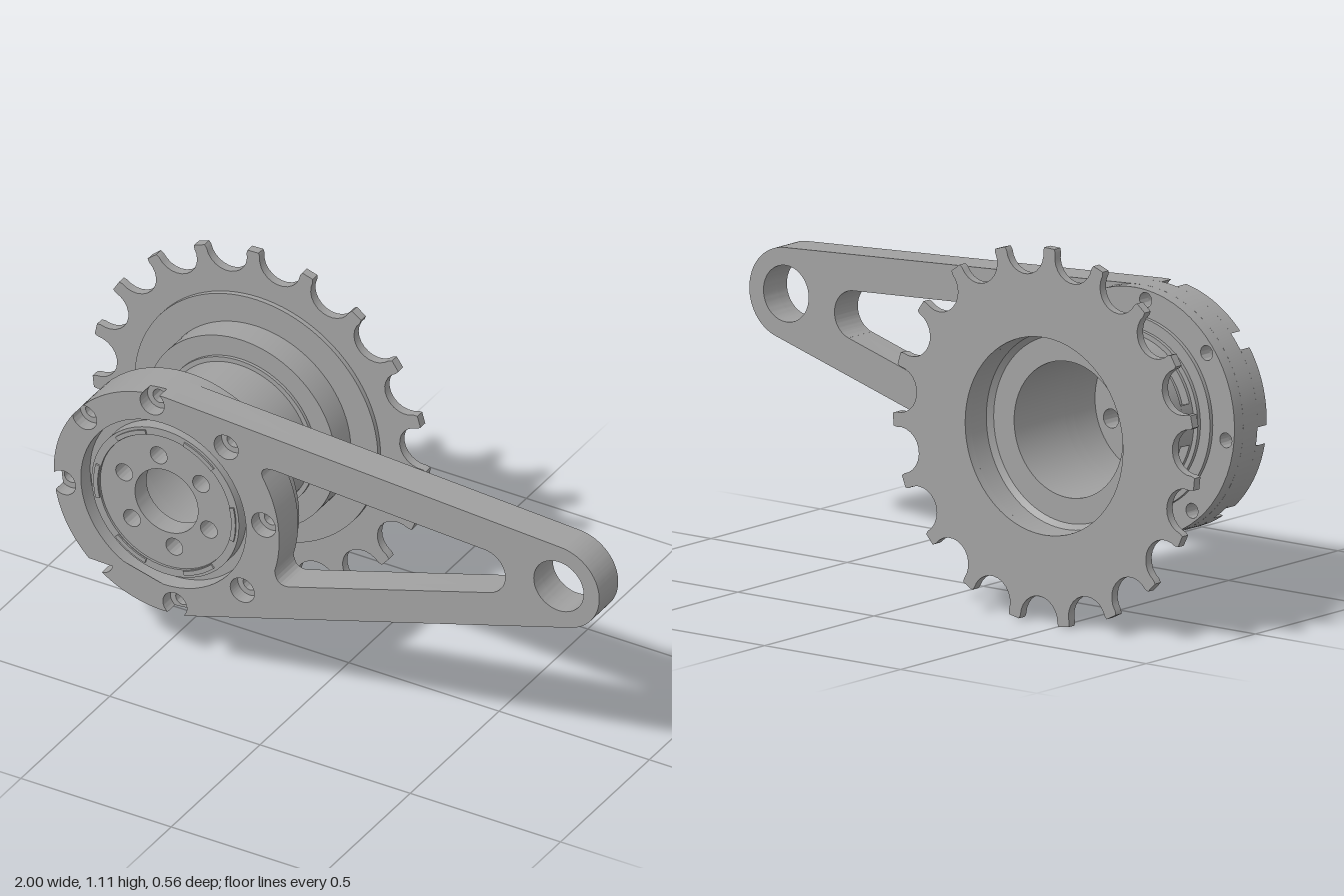
import * as THREE from 'three';
import { toCreasedNormals } from 'three/addons/utils/BufferGeometryUtils.js';

const HUB = [-0.45, 0.557], TIP = [0.865, 0.712];
const HOUSING_R = 0.365, TIP_R = 0.135, BOLT_R = 0.335;
const rad = (d) => (d * Math.PI) / 180;
const polar = (r, d, c = [0, 0]) => [c[0] + r * Math.cos(rad(d)), c[1] + r * Math.sin(rad(d))];

export function createModel() {
  const model = new THREE.Group();
  const steel = new THREE.MeshStandardMaterial({ color: 0xa0a0a0 });
  steel.name = 'grey steel';

  const add = (name, geo, parent) => {
    const mesh = new THREE.Mesh(toCreasedNormals(geo, 0.5), steel);
    mesh.name = name;
    parent.add(mesh);
    return mesh;
  };
  const slab = (name, shape, z0, z1, parent) => {
    const geo = new THREE.ExtrudeGeometry(shape, { depth: z1 - z0, bevelEnabled: false, curveSegments: 32 });
    return add(name, geo.translate(0, 0, z0), parent);
  };
  // Profile of [radius, z] points turned around the z axis
  const turned = (name, pts, parent) => {
    const geo = new THREE.LatheGeometry(pts.map((p) => new THREE.Vector2(...p)), 96);
    return add(name, geo.rotateX(Math.PI / 2), parent);
  };
  const disc = (r, c = [0, 0]) => new THREE.Shape().absarc(...c, r, 0, Math.PI * 2, false);
  const hole = (shape, r, c = [0, 0]) => shape.holes.push(new THREE.Path().absarc(...c, r, 0, Math.PI * 2, true));
  const sector = (r0, r1, mid, half) => {
    const s = new THREE.Shape();
    s.absarc(0, 0, r1, rad(mid - half), rad(mid + half), false);
    s.absarc(0, 0, r0, rad(mid + half), rad(mid - half), true);
    return s;
  };

  const hub = new THREE.Group();
  hub.name = 'hub';
  hub.position.set(...HUB, 0);
  model.add(hub);

  // Sprocket: round gullets between narrow teeth
  const TEETH = 19, step = 360 / TEETH, outline = [];
  for (let i = 0; i < TEETH; i++) {
    const g = 92 + (i - 0.5) * step;
    const c = polar(0.54, g);
    for (let k = 0; k <= 12; k++) outline.push(polar(0.068, g + 90 + 180 * (k / 12), c).map((v) => v));
    // gullet runs from its clockwise side to its counter-clockwise side
    const arc = outline.splice(-13).reverse();
    outline.push(...arc);
    const tooth = g + step / 2;
    outline.push(polar(0.555, tooth - 1.9), polar(0.555, tooth + 1.9));
  }
  const sprocket = new THREE.Shape(outline.map((p) => new THREE.Vector2(...p)));
  hole(sprocket, 0.29);
  slab('sprocket', sprocket, -0.282, -0.255, hub);

  // Barrel with rear flange and stepped bore
  turned('barrel', [
    [0.29, -0.255], [0.405, -0.255], [0.405, -0.24], [0.315, -0.24], [0.315, -0.155],
    [0.25, -0.155], [0.25, -0.145], [0.235, -0.145], [0.235, 0.06], [0.2, 0.06],
    [0.2, -0.17], [0.275, -0.17], [0.29, -0.185], [0.29, -0.255],
  ], hub);

  // Windowed collar between barrel and housing
  turned('collarLiner', [[0.2, 0.06], [0.208, 0.06], [0.208, 0.1], [0.2, 0.1], [0.2, 0.06]], hub);
  for (let i = 0; i < 6; i++) {
    slab('collarPillar', sector(0.206, 0.235, i * 60, 15), 0.06, 0.1, hub);
    slab('faceKey', sector(0.222, 0.236, i * 60, 14), 0.271, 0.277, hub);
  }

  // Stepped seat rings, recess and raised front rim
  turned('frontSleeve', [
    [0.2, 0.1], [0.235, 0.1], [0.235, 0.11], [0.25, 0.11], [0.25, 0.122], [0.285, 0.122],
    [0.285, 0.135], [0.275, 0.135], [0.275, 0.23], [0.245, 0.23], [0.245, 0.272],
    [0.22, 0.272], [0.22, 0.2], [0.2, 0.2], [0.2, 0.1],
  ], hub);

  // Front plate with centre hole and six small holes
  const plate = disc(0.22);
  hole(plate, 0.105);
  for (let i = 0; i < 6; i++) hole(plate, 0.028, polar(0.15, 40 + i * 60));
  slab('frontPlate', plate, 0.2, 0.265, hub);

  // Rear housing ring with bolt holes
  const bolts = Array.from({ length: 8 }, (_, i) => 6.5 + 45 * i);
  const ring = disc(HOUSING_R);
  hole(ring, 0.275);
  bolts.forEach((b) => hole(ring, 0.022, polar(BOLT_R, b)));
  slab('housingRing', ring, 0.135, 0.175, hub);

  // Arm outline: tip circle joined to the housing circle by tangents
  const armShape = (counterbored) => {
    const up = 86.7, low = -73.3, s = new THREE.Shape();
    s.absarc(...TIP, TIP_R, rad(low), rad(up), false);
    let from = up;
    for (const b of bolts) {
      const open = b > 90 && b < 280;
      const c = polar(BOLT_R, b, HUB);
      if (counterbored && open) {
        s.absarc(...HUB, HOUSING_R, rad(from), rad(b - 4.33), false);
        s.absarc(...c, 0.04, rad(b - 43.6), rad(b + 43.6), true);
        from = b + 4.33;
      } else hole(s, counterbored ? 0.04 : 0.022, c);
    }
    s.absarc(...HUB, HOUSING_R, rad(from), rad(360 + low), false);
    hole(s, 0.275, HUB);
    hole(s, 0.083, TIP);
    // Tapered window
    const w = new THREE.Path();
    w.moveTo(-0.03, 0.412);
    w.lineTo(0.636, 0.614);
    w.absarc(0.615, 0.683, 0.072, rad(-73), rad(87), false);
    w.lineTo(-0.08, 0.793);
    w.quadraticCurveTo(-0.135, 0.793, ...polar(0.385, 31, HUB));
    w.absarc(...HUB, 0.385, rad(31), rad(-16), true);
    w.quadraticCurveTo(-0.075, 0.4, -0.03, 0.412);
    s.holes.push(w);
    return s;
  };
  const arm = new THREE.Group();
  arm.name = 'arm';
  model.add(arm);
  slab('armBack', armShape(false), 0.175, 0.24, arm);
  slab('armFront', armShape(true), 0.24, 0.282, arm);

  return model;
}
